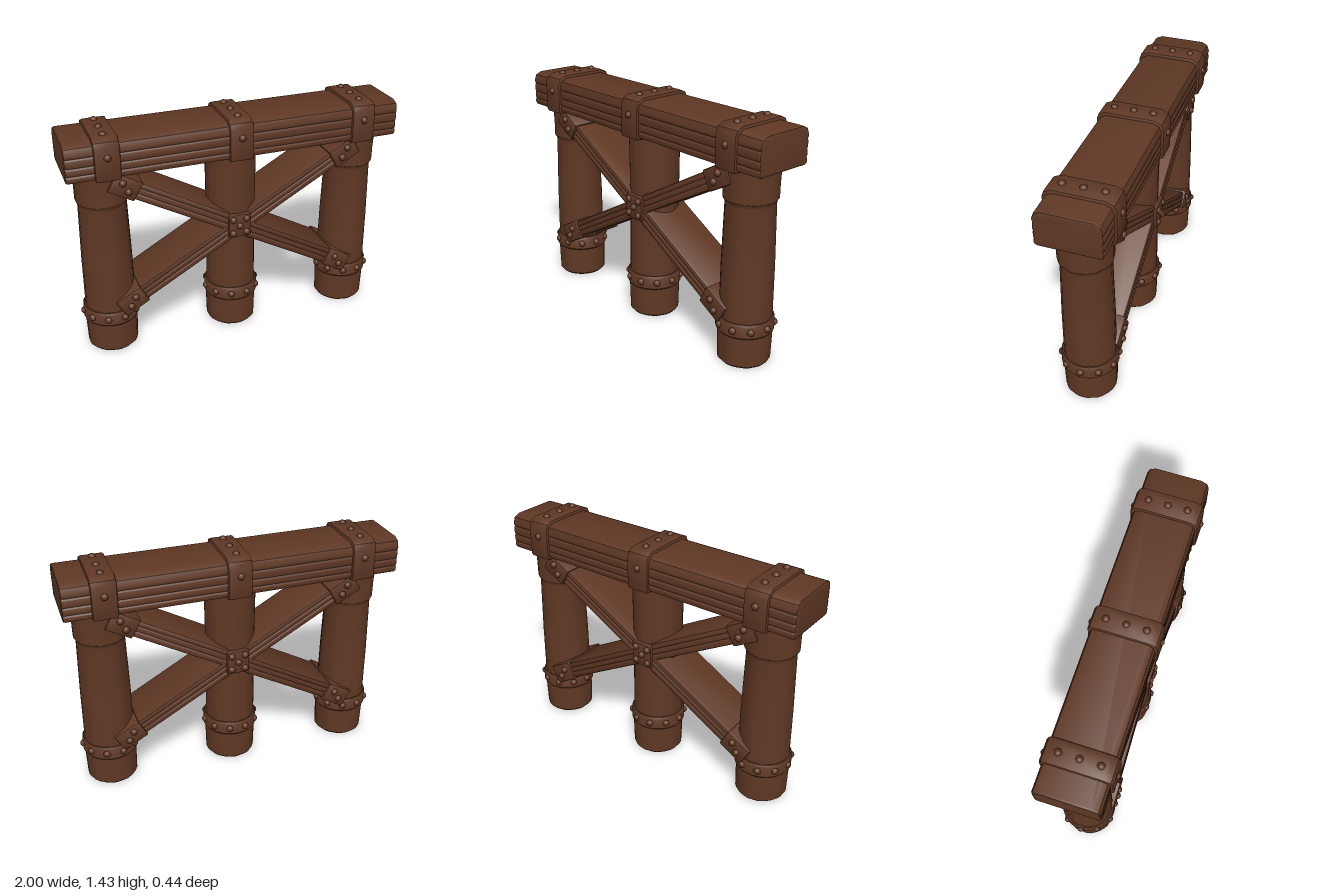
import * as THREE from 'three';
import { toCreasedNormals } from 'three/addons/utils/BufferGeometryUtils.js';

const wood = new THREE.MeshStandardMaterial({ color: 0x603824 });
wood.name = 'dark brown wood';

function addMesh(parent, name, geometry) {
  const mesh = new THREE.Mesh(geometry, wood);
  mesh.name = name;
  parent.add(mesh);
  return mesh;
}

// Bar along x: chamfered cross-section with optional grain grooves in its sides
function barGeometry(length, halfZ, y0, y1, { top = 0.02, bottom = 0.02, grooves = [], bevel = 0.012 } = {}) {
  const side = [[halfZ - bottom, y0], [halfZ - bottom * 0.3, y0 + bottom * 0.3], [halfZ, y0 + bottom]];
  for (const y of grooves) side.push([halfZ, y - 0.009], [halfZ - 0.006, y], [halfZ, y + 0.009]);
  side.push([halfZ, y1 - top], [halfZ - top * 0.25, y1 - top * 0.35], [halfZ - top, y1]);
  const mirrored = side.map(([z, y]) => [-z, y]).reverse();
  const shape = new THREE.Shape([...side, ...mirrored].map(([z, y]) => new THREE.Vector2(z, y)));
  const geometry = new THREE.ExtrudeGeometry(shape, {
    depth: length - 2 * bevel, bevelThickness: bevel, bevelSize: bevel, bevelOffset: -bevel, bevelSegments: 2,
  });
  geometry.translate(0, 0, bevel - length / 2).rotateY(Math.PI / 2);
  return toCreasedNormals(geometry, 0.6);
}

// Round timber with gently uneven, hewn sides
function postGeometry(profile) {
  const geometry = new THREE.LatheGeometry(profile.map(([r, y]) => new THREE.Vector2(r, y)), 40);
  const p = geometry.attributes.position;
  for (let i = 0; i < p.count; i++) {
    const a = Math.atan2(p.getX(i), p.getZ(i));
    const k = 1 + 0.009 * Math.sin(a * 9) + 0.007 * Math.cos(a * 14);
    p.setX(i, p.getX(i) * k);
    p.setZ(i, p.getZ(i) * k);
  }
  return toCreasedNormals(geometry, 0.6);
}

const rivetGeometry = new THREE.SphereGeometry(0.022, 12, 8);
function addRivet(parent, x, y, z) {
  addMesh(parent, 'rivet', rivetGeometry).position.set(x, y, z);
}

function addPost(parent, x, isMiddle) {
  const post = new THREE.Group();
  post.name = isMiddle ? 'middlePost' : 'outerPost';
  post.position.x = x;
  parent.add(post);

  const upper = isMiddle
    ? [[0.152, 0.3], [0.148, 0.7], [0.153, 1.2]]
    : [[0.152, 0.3], [0.149, 0.6], [0.14, 0.96], [0.142, 0.975], [0.153, 0.99], [0.153, 1.08], [0.158, 1.2]];
  addMesh(post, 'timber', postGeometry([[0, 0], [0.142, 0], [0.153, 0.012], [0.157, 0.18], ...upper, [0, 1.2]]));

  // Riveted foot band
  const band = [[0.14, 0.195], [0.16, 0.195], [0.168, 0.205], [0.167, 0.272], [0.16, 0.285], [0.14, 0.285]];
  addMesh(post, 'footBand', toCreasedNormals(
    new THREE.LatheGeometry(band.map(([r, y]) => new THREE.Vector2(r, y)), 40), 0.6));
  for (let i = 0; i < 10; i++) {
    const a = (i / 10) * Math.PI * 2;
    addRivet(post, Math.cos(a) * 0.163, 0.243, Math.sin(a) * 0.163);
  }
}

function addStrap(parent, x) {
  const strap = new THREE.Group();
  strap.name = 'beamStrap';
  strap.position.x = x;
  parent.add(strap);
  addMesh(strap, 'strapBand', barGeometry(0.145, 0.201, 1.166, 1.415, { top: 0.055, bottom: 0.018 }));
  for (const z of [-0.115, 0, 0.115]) addRivet(strap, 0, 1.41, z);
  for (const s of [-1, 1]) addRivet(strap, 0, 1.31, s * 0.196);
}

function addBrace(parent, slope) {
  const brace = new THREE.Group();
  brace.name = 'crossBrace';
  brace.position.y = 0.722;
  brace.rotation.z = slope * 0.512;
  parent.add(brace);
  addMesh(brace, 'bracePlank', barGeometry(1.64, 0.153, -0.053, 0.053,
    { top: 0.014, bottom: 0.014, grooves: [-0.014, 0.018], bevel: 0.008 }));
  // Metal sleeve on each end, two rivets per face
  for (const end of [-1, 1]) {
    const sleeve = addMesh(brace, 'endSleeve', barGeometry(0.17, 0.165, -0.062, 0.062, { top: 0.01, bottom: 0.01, bevel: 0.008 }));
    sleeve.position.x = end * 0.776;
    for (const face of [-1, 1]) {
      addRivet(brace, end * 0.748, -0.018 * end * slope, face * 0.162);
      addRivet(brace, end * 0.802, 0.018 * end * slope, face * 0.162);
    }
  }
}

export function createModel() {
  const model = new THREE.Group();
  model.name = 'timberTrestle';

  // Top beam and its straps
  addMesh(model, 'topBeam', barGeometry(2, 0.186, 1.178, 1.396,
    { top: 0.05, bottom: 0.02, grooves: [1.222, 1.268, 1.322] }));
  for (const x of [-0.77, 0, 0.77]) addStrap(model, x);

  // Posts
  for (const x of [-0.783, 0, 0.783]) addPost(model, x, x === 0);

  // Crossed braces
  for (const slope of [-1, 1]) addBrace(model, slope);

  // Centre plate over the crossing, five rivets on each face
  const plate = new THREE.Group();
  plate.name = 'centrePlate';
  plate.position.y = 0.73;
  model.add(plate);
  addMesh(plate, 'plate', barGeometry(0.14, 0.17, -0.077, 0.077, { top: 0.012, bottom: 0.012, bevel: 0.01 }));
  for (const face of [-1, 1]) {
    addRivet(plate, 0, 0, face * 0.165);
    for (const sx of [-1, 1]) for (const sy of [-1, 1]) addRivet(plate, sx * 0.042, sy * 0.045, face * 0.165);
  }
  return model;
}
